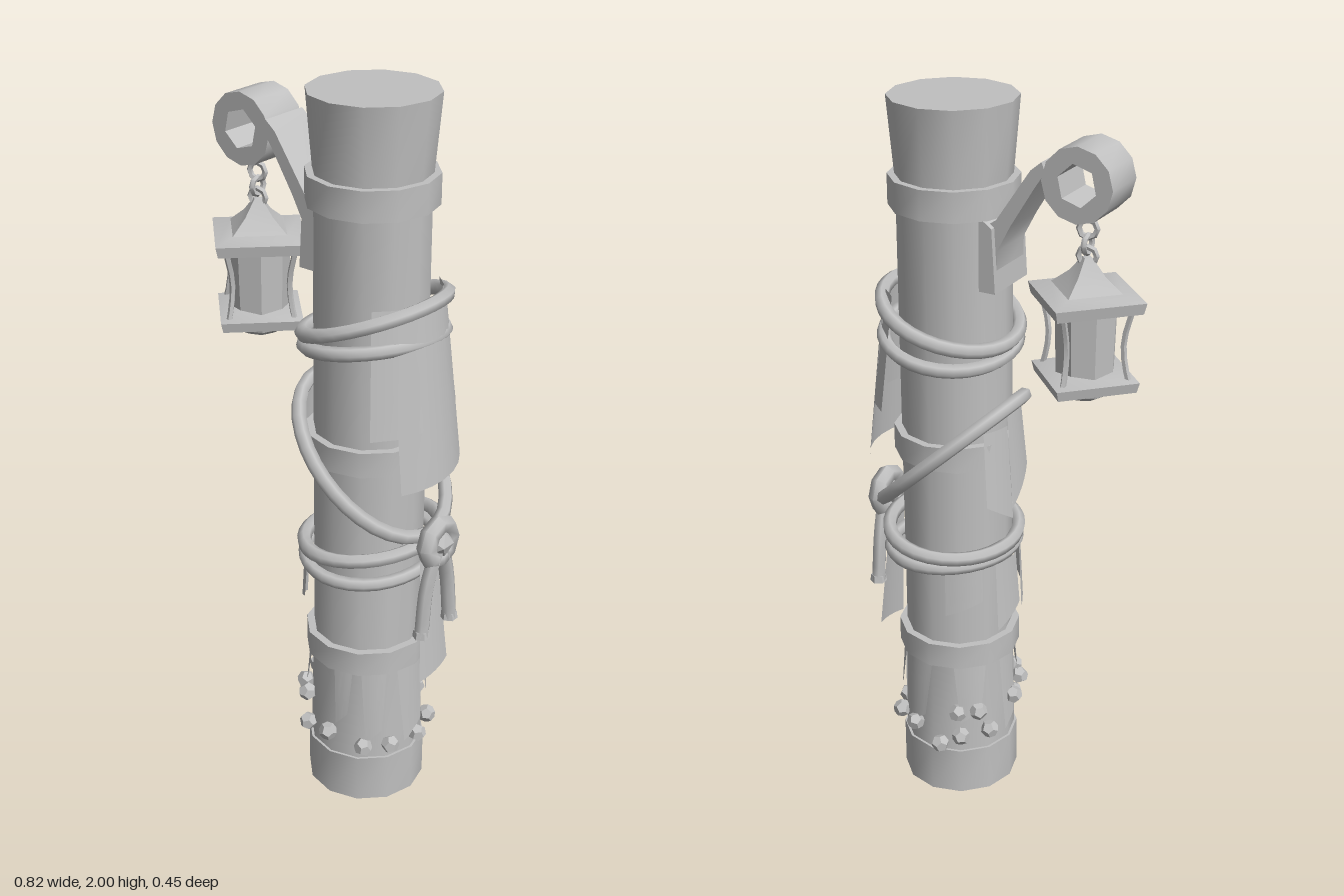
import * as THREE from 'three';
import { toCreasedNormals } from 'three/addons/utils/BufferGeometryUtils.js';

const CX = 0.13, CZ = -0.005;
const V = (x, y, z) => new THREE.Vector3(x, y, z);

export function createModel() {
  const root = new THREE.Group();
  const grey = new THREE.MeshStandardMaterial({ color: 0xc0c0c0, side: THREE.DoubleSide });
  grey.name = 'plain grey';

  const add = (parent, name, geo, x = 0, y = 0, z = 0, crease = 0.7) => {
    const m = new THREE.Mesh(toCreasedNormals(geo, crease), grey);
    m.name = name;
    m.position.set(x, y, z);
    parent.add(m);
    return m;
  };

  // Post: stacked drums with raised bands
  const post = new THREE.Group();
  post.name = 'post';
  root.add(post);
  const drum = (name, y0, y1, r0, r1 = r0) =>
    add(post, name, new THREE.CylinderGeometry(r1, r0, y1 - y0, 12), CX, (y0 + y1) / 2, CZ);
  drum('postFoot', 0, 0.14, 0.164);
  drum('postSleeve', 0.14, 0.43, 0.157, 0.152);
  drum('postShaft', 0.43, 1.8, 0.149);
  drum('postTop', 1.8, 2, 0.151, 0.168);
  [[0.425, 0.495], [1.035, 1.105], [1.72, 1.8]].forEach(([a, b]) => drum('band', a, b, 0.17));

  // Ropes: oval loops, height varying around the post
  const loop = (name, height, rx, rz, rad) => {
    const pts = [];
    for (let i = 0; i < 16; i++) {
      const a = i / 16 * Math.PI * 2;
      pts.push(V(0.143 + rx * Math.cos(a), height(a), CZ + rz * Math.sin(a)));
    }
    add(root, name, new THREE.TubeGeometry(new THREE.CatmullRomCurve3(pts, true), 32, rad, 6, true), 0, 0, 0, 1.2);
  };
  loop('upperRope', a => 1.43 + 0.06 * Math.cos(a), 0.171, 0.203, 0.02);
  loop('upperRope', a => 1.365 + 0.035 * Math.cos(a - 0.5), 0.168, 0.2, 0.019);
  loop('slungRope', a => 1.03 - 0.175 * Math.cos(a), 0.19, 0.203, 0.02);
  loop('lowerRope', a => 0.795 + 0.018 * Math.cos(a), 0.171, 0.2, 0.02);
  loop('lowerRope', a => 0.745 - 0.012 * Math.cos(a - 1), 0.168, 0.198, 0.018);

  // Knot with two tails
  const knot = add(root, 'knotRing', new THREE.TorusGeometry(0.05, 0.027, 6, 8), 0.365, 0.84, 0, 1.2);
  knot.rotation.y = Math.PI / 2;
  add(root, 'knotCore', new THREE.IcosahedronGeometry(0.042, 0), 0.365, 0.84, 0, 0.1);
  for (const s of [1, -1]) {
    const path = new THREE.CatmullRomCurve3([
      V(0.37, 0.82, s * 0.012), V(0.365, 0.72, s * 0.045), V(0.365, 0.58, s * 0.062)]);
    const g = new THREE.TubeGeometry(path, 6, 0.021, 6);
    add(root, 'ropeTail', g, 0, 0, 0, 1.2);
    add(root, 'tailEnd', new THREE.CylinderGeometry(0.021, 0.024, 0.02, 6), 0.365, 0.586, s * 0.062);
  }

  // Cloth: curved sheets around the post, flaring from r0 (top) to r1 (bottom)
  const cloth = (name, a0, a1, yTop, yBottom, r0, r1, slant = 0, taper = 1) => {
    const g = new THREE.PlaneGeometry(1, 1, 6, 3), p = g.attributes.position;
    for (let i = 0; i < p.count; i++) {
      const u = p.getX(i), t = 0.5 - p.getY(i);
      const a = (a0 + a1) / 2 - u * (a1 - a0) * (1 + (taper - 1) * t);
      const r = r0 + (r1 - r0) * t;
      p.setXYZ(i, CX + r * Math.cos(a), yTop + (yBottom - yTop) * t + slant * u * t, CZ + r * Math.sin(a));
    }
    g.computeVertexNormals();
    add(root, name, g, 0, 0, 0, 1.2);
  };
  cloth('broadCloth', -1.0, 0.9, 1.5, 1.175, 0.182, 0.222, 0.02);
  cloth('longCloth', -0.72, 0.62, 1.47, 1.02, 0.19, 0.238, 0.01, 0.9);
  cloth('knotCloth', -0.2, 0.16, 0.82, 0.43, 0.2, 0.235, 0.02, 1.5);
  cloth('sideCloth', 2.75, 3.3, 1.2, 0.95, 0.17, 0.19, 0.09);
  cloth('sideCloth', 3.25, 3.75, 1.14, 0.9, 0.165, 0.185, -0.06);
  cloth('lowCloth', 2.15, 2.85, 0.74, 0.58, 0.172, 0.18, 0.06);
  cloth('lowCloth', 3.0, 3.55, 0.74, 0.56, 0.17, 0.182, 0.05);
  cloth('lowCloth', 3.8, 4.4, 0.74, 0.62, 0.172, 0.176, 0.04);

  // Torn strips on the foot sleeve
  [[-0.35, 0.35, 0.2], [0.55, 1.0, 0.22], [1.15, 1.5, 0.27], [2.2, 2.75, 0.3],
    [2.95, 3.4, 0.2], [3.7, 4.3, 0.26], [4.7, 5.3, 0.23], [5.45, 5.8, 0.29]]
    .forEach(([a, b, y]) => cloth('tornStrip', a, b, 0.43, y, 0.157, 0.168, 0.04, 0.6));

  // Studs around the foot: angle, height
  [[2.15, 0.19], [1.57, 0.215], [0.95, 0.19], [0.5, 0.19], [-0.08, 0.185], [-0.6, 0.19],
    [-1.25, 0.215], [-1.75, 0.17], [-2.1, 0.2], [-2.6, 0.21], [2.55, 0.285], [2.2, 0.285],
    [-2.05, 0.28], [-2.4, 0.28], [3.1, 0.28]].forEach(([a, y], i) => {
    const s = add(root, 'stud', new THREE.DodecahedronGeometry(0.026, 0),
      CX + 0.172 * Math.cos(a), y, CZ + 0.172 * Math.sin(a), 0.1);
    s.rotation.set(i, i * 1.7, 0);
  });

  // Bracket: curled scroll, sloping arm and wall plate
  const extrude = (shape, depth) => new THREE.ExtrudeGeometry(shape, { depth, bevelEnabled: false, curveSegments: 6 });
  const ngon = (r, n, start) => Array.from({ length: n }, (_, i) => {
    const a = start + i / n * Math.PI * 2;
    return new THREE.Vector2(r * Math.cos(a), r * Math.sin(a));
  });
  const outline = pts => new THREE.Shape(pts.map(([x, y]) => new THREE.Vector2(x, y)));
  const scroll = new THREE.Shape(ngon(0.096, 12, 0));
  scroll.holes.push(new THREE.Path(ngon(0.054, 6, 0.3)));
  add(root, 'bracketScroll', extrude(scroll, 0.13), -0.25, 1.84, -0.075);
  add(root, 'bracketArm', extrude(outline([
    [-0.165, 1.86], [-0.155, 1.885], [-0.125, 1.86], [-0.03, 1.72], [0, 1.7], [0, 1.54],
    [-0.03, 1.535], [-0.033, 1.64], [-0.07, 1.71], [-0.135, 1.815]]), 0.14), 0, 0, -0.075);
  add(root, 'bracketPlate', extrude(outline([
    [-0.035, 1.53], [0.025, 1.53], [0.045, 1.75], [-0.025, 1.7]]), 0.17), 0, 0, -0.09);

  // Lantern hanging from chain links
  const lantern = new THREE.Group();
  lantern.name = 'lantern';
  lantern.position.set(-0.25, 0, -0.007);
  root.add(lantern);
  [1.715, 1.675, 1.645].forEach((y, i) => {
    const link = add(lantern, 'chainLink', new THREE.TorusGeometry(0.023, 0.008, 5, 8), 0, y, 0, 1.2);
    link.rotation.y = i % 2 ? Math.PI / 2 : 0.25;
  });
  const lathe = (name, pts, n) =>
    add(lantern, name, new THREE.LatheGeometry(pts.map(([r, y]) => new THREE.Vector2(r, y)), n), 0, 0, 0, 0.5);
  lathe('roof', [[0, 1.52], [0.158, 1.52], [0.166, 1.55], [0.1, 1.562], [0.05, 1.6], [0.014, 1.642], [0, 1.645]], 4);
  lathe('base', [[0, 1.308], [0.146, 1.308], [0.154, 1.335], [0.08, 1.35], [0, 1.35]], 4);
  lathe('underside', [[0, 1.268], [0.045, 1.272], [0.085, 1.295], [0.09, 1.312]], 8);
  add(lantern, 'glass', new THREE.CylinderGeometry(0.083, 0.078, 0.185, 8), 0, 1.435, 0);
  for (let i = 0; i < 4; i++) {
    const a = i * Math.PI / 2;
    const at = (r, y) => V(r * Math.cos(a), y, r * Math.sin(a));
    const bow = new THREE.CatmullRomCurve3([at(0.125, 1.325), at(0.11, 1.38), at(0.106, 1.44), at(0.128, 1.53)]);
    add(lantern, 'cornerBar', new THREE.TubeGeometry(bow, 6, 0.008, 5), 0, 0, 0, 1.2);
  }
  return root;
}
